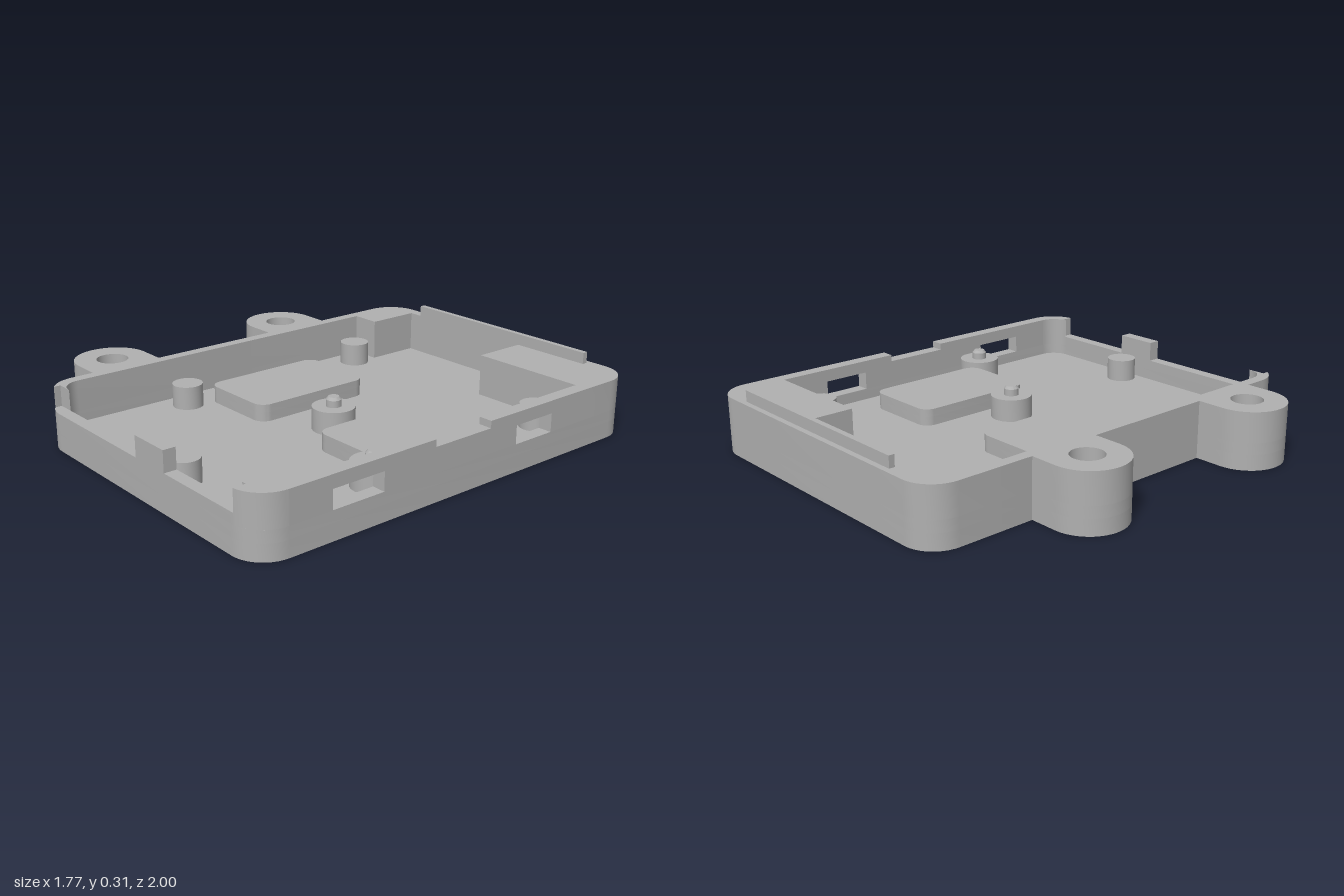
import * as THREE from 'three';
import { toCreasedNormals } from 'three/addons/utils/BufferGeometryUtils.js';

const FLOOR = 0.07, SILL = 0.12, FRONT = 0.165, TOP = 0.255;
const PI = Math.PI;

// Points of an arc in the ground plane, as (x, z)
function arc(cx, cz, r, a0, a1, n = 10) {
  return Array.from({ length: n + 1 }, (_, i) => {
    const a = a0 + (a1 - a0) * i / n;
    return new THREE.Vector2(cx + r * Math.cos(a), cz + r * Math.sin(a));
  });
}
const pts = (...list) => list.map(([x, z]) => new THREE.Vector2(x, z));
const circle = (cx, cz, r) => arc(cx, cz, r, 0, 2 * PI * 31 / 32, 31);

function roundRect(x0, x1, z0, z1, r) {
  return [
    ...arc(x1 - r, z1 - r, r, 0, PI / 2), ...arc(x0 + r, z1 - r, r, PI / 2, PI),
    ...arc(x0 + r, z0 + r, r, PI, 1.5 * PI), ...arc(x1 - r, z0 + r, r, 1.5 * PI, 2 * PI),
  ];
}

export function createModel() {
  const group = new THREE.Group();
  const grey = new THREE.MeshStandardMaterial({ color: 0xb0b0b0 });
  grey.name = 'grey plastic';

  function add(name, geometry) {
    const mesh = new THREE.Mesh(toCreasedNormals(geometry, 0.5), grey);
    mesh.name = name;
    group.add(mesh);
    return mesh;
  }
  // Flat outline in (x, z) extruded from y0 up to y1
  function slab(name, outline, y0, y1, holes = []) {
    const shape = new THREE.Shape(outline);
    shape.holes = holes.map((h) => new THREE.Path(h));
    const geo = new THREE.ExtrudeGeometry(shape, { depth: y1 - y0, bevelEnabled: false });
    add(name, geo.rotateX(PI / 2).translate(0, y1, 0));
  }
  function box(name, x0, x1, y0, y1, z0, z1) {
    add(name, new THREE.BoxGeometry(x1 - x0, y1 - y0, z1 - z0)
      .translate((x0 + x1) / 2, (y0 + y1) / 2, (z0 + z1) / 2));
  }

  // Outer outline: left edge with two mounting ears, then the back corners
  const earX = -0.72, earZ = [0.595, -0.35];
  const earSide = earZ.flatMap((z) => [
    ...pts([-0.595, z + 0.165]),
    ...arc(earX, z, 0.165, PI / 2, 1.5 * PI, 20),
    ...pts([-0.595, z - 0.165]),
  ]);
  const backCorners = [
    ...arc(-0.455, -0.86, 0.14, PI, 1.5 * PI), ...arc(0.745, -0.86, 0.14, 1.5 * PI, 2 * PI),
  ];
  const outer = [
    ...arc(-0.455, 0.86, 0.14, PI / 2, PI), ...earSide, ...backCorners,
    ...arc(0.745, 0.86, 0.14, 0, PI / 2),
  ];
  // Cavity edge: stepped at the back, rounded at the front
  const backSteps = pts([0.825, -0.7], [0.295, -0.7], [0.295, -0.95],
    [-0.41, -0.95], [-0.41, -0.7], [-0.545, -0.7]);
  const innerLeft = arc(-0.46, 0.86, 0.085, PI, PI / 2);
  const innerRight = arc(0.74, 0.86, 0.085, PI / 2, 0);
  const cavity = [...backSteps, ...innerLeft, ...innerRight];
  const earHoles = earZ.map((z) => circle(earX + 0.005, z, 0.07));

  // Keyhole: round opening with a narrow slot toward the back
  const keyhole = (cx) => {
    const a = Math.acos(0.055 / 0.13);
    return [...arc(cx, 0.1, 0.13, -a, PI + a, 30), ...arc(cx, -0.13, 0.055, PI, 2 * PI)];
  };
  const padX = [-0.23, 0.515];

  // Floor and lower walls
  slab('floorPlate', outer, 0, FLOOR, padX.map(keyhole));
  slab('lowerWall', outer, FLOOR, SILL, [cavity, ...earHoles]);

  // Upper left and back wall, including ears and corner blocks
  slab('leftAndBackWall', [
    ...pts([-0.535, 0.945]),
    ...arc(-0.455, 0.86, 0.14, 2.179, PI), ...earSide, ...backCorners,
    ...pts([0.885, -0.7]), ...backSteps, ...innerLeft,
  ], SILL, TOP, earHoles);

  // Front wall: low sill, rounded right corner and centre tab
  slab('frontSill', [
    ...pts([0.76, 0.945], [0.76, 0.999], [0.745, 1]),
    ...arc(-0.455, 0.86, 0.14, PI / 2, 2.179), ...pts([-0.535, 0.945]),
  ], SILL, FRONT);
  slab('frontLeftCorner', [
    ...arc(0.745, 0.86, 0.14, 0, 1.463), ...pts([0.76, 0.945]), ...innerRight,
  ], SILL, TOP);
  box('frontTab', 0.143, 0.335, FRONT, TOP, 0.945, 1);

  // Side wall with a shallow top notch and two through slots, drawn as (-z, y)
  const side = new THREE.Shape(pts([-0.86, SILL], [-0.67, SILL], [-0.67, 0.2], [-0.43, 0.2],
    [-0.43, SILL], [0.27, SILL], [0.27, 0.2], [0.48, 0.2], [0.48, SILL], [0.7, SILL],
    [0.7, TOP], [0.12, TOP], [0.12, 0.225], [-0.175, 0.225], [-0.175, TOP], [-0.86, TOP]));
  add('slottedSideWall', new THREE.ExtrudeGeometry(side, { depth: 0.06, bevelEnabled: false })
    .rotateY(PI / 2).translate(0.825, 0, 0));

  // Raised lip along the back edge
  box('backLip', -0.345, 0.665, TOP, 0.305, -0.975, -0.95);

  // Raised pads that cover the keyholes
  for (const x of padX) {
    const pad = roundRect(x - 0.19, x + 0.19, -0.305, 0.28, 0.055);
    slab('keyholePadWall', pad, FLOOR, 0.11, [keyhole(x)]);
    slab('keyholePadTop', pad, 0.11, 0.145);
  }

  // Plain support posts
  for (const [x, z] of [[-0.43, -0.585], [0.715, -0.585], [-0.43, 0.39], [0.26, 0.865]]) {
    slab('supportPost', circle(x, z, 0.067), FLOOR, 0.172);
  }
  // Wide bosses with chamfered locating pins
  for (const [x, z] of [[0.195, 0.08], [0.735, 0.345]]) {
    slab('boss', circle(x, z, 0.092), FLOOR, 0.17);
    const profile = pts([0.033, 0.17], [0.033, 0.2], [0.023, 0.212], [0, 0.212]);
    add('locatingPin', new THREE.LatheGeometry(profile, 24).translate(x, 0, z));
  }
  return group;
}
